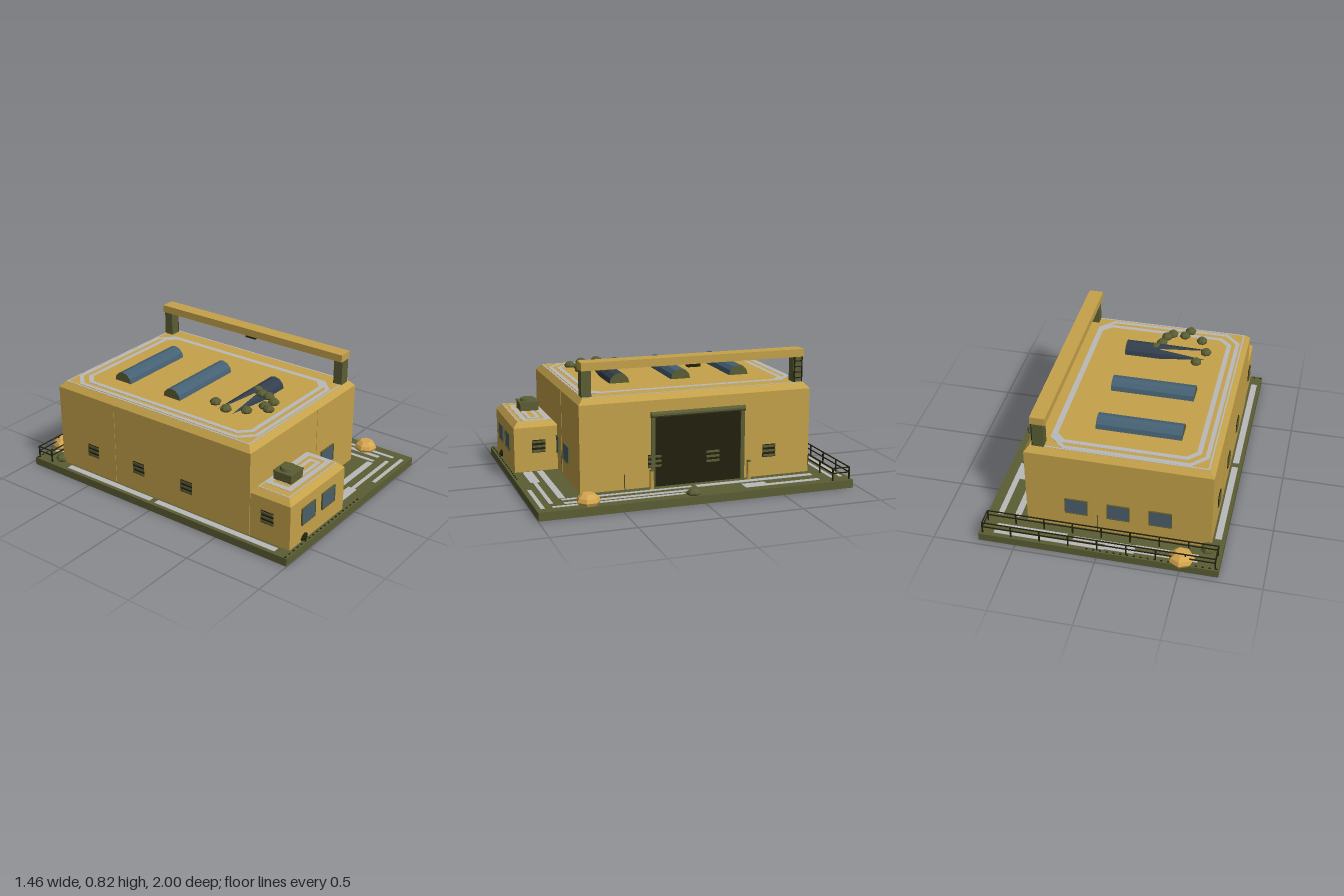
import * as THREE from 'three';

const mat = (name, color, extra = {}) =>
  Object.assign(new THREE.MeshStandardMaterial({ color, flatShading: true, ...extra }), { name });

export function createModel() {
  const root = new THREE.Group();
  const tan = mat('sand wall', 0xc5a24a);
  const amber = mat('amber rock', 0xd6a750);
  const olive = mat('olive', 0x5b5d34);
  const dark = mat('dark metal', 0x22210e);
  const glass = mat('window glass', 0x4a5f6c);
  const sky = mat('skylight glass', 0x466174);
  const navy = mat('broken glass', 0x333f4e, { side: THREE.DoubleSide });
  const grey = mat('grey marking', 0xb9b9b9);

  const add = (name, geo, m, x = 0, y = 0, z = 0, parent = root) => {
    const mesh = new THREE.Mesh(geo, m);
    mesh.name = name;
    mesh.position.set(x, y, z);
    parent.add(mesh);
    return mesh;
  };
  // Box given by its limits on each axis
  const span = (name, m, x0, x1, y0, y1, z0, z1) =>
    add(name, new THREE.BoxGeometry(x1 - x0, y1 - y0, z1 - z0), m, (x0 + x1) / 2, (y0 + y1) / 2, (z0 + z1) / 2);
  // Block with sloping eaves
  const building = (name, x0, x1, y1, z0, z1, inset = 0.03, rise = 0.035) => {
    span(name + 'Walls', tan, x0, x1, 0.05, y1 - rise, z0, z1);
    const cap = new THREE.BoxGeometry(x1 - x0, rise, z1 - z0);
    const p = cap.attributes.position;
    for (let i = 0; i < p.count; i++) {
      if (p.getY(i) > 0) {
        p.setX(i, p.getX(i) - Math.sign(p.getX(i)) * inset);
        p.setZ(i, p.getZ(i) - Math.sign(p.getZ(i)) * inset);
      }
    }
    cap.computeVertexNormals();
    add(name + 'Roof', cap, tan, (x0 + x1) / 2, y1 - rise / 2, (z0 + z1) / 2);
  };
  // Flat ring with cut corners, painted on a roof
  const ring = (name, x0, x1, z0, z1, w, cut, y) => {
    const outline = (o, c) => [
      [x0 + o + c, z0 + o], [x1 - o - c, z0 + o], [x1 - o, z0 + o + c], [x1 - o, z1 - o - c],
      [x1 - o - c, z1 - o], [x0 + o + c, z1 - o], [x0 + o, z1 - o - c], [x0 + o, z0 + o + c],
    ].map(([x, z]) => new THREE.Vector2(x, -z));
    const s = new THREE.Shape(outline(0, cut));
    s.holes.push(new THREE.Path(outline(w, Math.max(cut - w * 0.59, 0.001))));
    const g = new THREE.ExtrudeGeometry(s, { depth: 0.003, bevelEnabled: false });
    g.rotateX(-Math.PI / 2);
    add(name, g, grey, 0, y, 0);
  };

  // Ground slab, hollow underneath
  span('slabTop', olive, -0.733, 0.728, 0.045, 0.05, -0.963, 0.998);
  for (const x of [-0.733, 0.724]) span('slabSide', olive, x, x + 0.004, 0, 0.047, -0.963, 0.998);
  for (const z of [-0.963, 0.994]) span('slabEnd', olive, -0.733, 0.728, 0, 0.047, z, z + 0.004);

  // Two buildings
  building('hall', -0.657, 0.47, 0.617, -0.778, 0.69);
  building('annex', -0.653, -0.082, 0.368, 0.685, 0.965);

  // Wall panel seams
  span('wallSeam', tan, 0.036, 0.039, 0.05, 0.58, 0.69, 0.692);
  span('wallSeam', tan, 0.046, 0.049, 0.05, 0.58, -0.78, -0.778);
  span('wallSeam', tan, -0.659, -0.657, 0.05, 0.58, -0.33, -0.327);

  // Roof markings
  ring('roofEdgeLine', -0.624, 0.437, -0.746, 0.658, 0.01, 0.01, 0.616);
  ring('roofOuterLine', -0.605, 0.34, -0.735, 0.64, 0.026, 0.09, 0.616);
  ring('roofInnerLine', -0.555, 0.335, -0.685, 0.59, 0.03, 0.07, 0.616);
  ring('annexEdgeLine', -0.62, -0.115, 0.718, 0.932, 0.008, 0.005, 0.367);
  ring('annexOuterLine', -0.56, -0.112, 0.722, 0.9, 0.033, 0.005, 0.367);
  ring('annexInnerLine', -0.5, -0.17, 0.775, 0.855, 0.025, 0.005, 0.367);

  // Annex roof ventilator
  span('ventilatorBase', olive, -0.495, -0.375, 0.365, 0.418, 0.74, 0.86);
  span('ventilatorLid', olive, -0.499, -0.371, 0.418, 0.426, 0.736, 0.864);
  add('ventilatorCap', new THREE.CylinderGeometry(0.044, 0.05, 0.018, 16), olive, -0.435, 0.435, 0.8);

  // Ground markings: x0, x1, z0, z1
  [[0.52, 0.56, -0.77, -0.01], [0.63, 0.665, -0.77, -0.43], [0.59, 0.665, -0.43, -0.28],
    [0.525, 0.55, 0.02, 0.82], [0.59, 0.62, 0.02, 0.82], [0.64, 0.665, 0.1, 0.9],
    [-0.07, 0.51, 0.79, 0.83], [-0.07, 0.16, 0.86, 0.92], [0.16, 0.59, 0.88, 0.905],
    [0.3, 0.665, 0.945, 0.97], [-0.71, -0.67, -0.7, -0.02], [-0.71, -0.67, 0.02, 0.9],
    [-0.22, -0.04, -0.93, -0.86], [-0.04, 0.16, -0.89, -0.86], [-0.6, -0.22, -0.92, -0.9],
    [-0.04, 0.64, -0.935, -0.91], [-0.6, -0.22, -0.875, -0.855], [0.2, 0.64, -0.875, -0.85],
  ].forEach(([a, b, c, d]) => span('groundMarking', grey, a, b, 0.049, 0.052, c, d));

  // Windows, dir is the side the wall faces
  const windowPane = (x, z, dir) => {
    const g = new THREE.Group();
    g.name = 'window';
    g.position.set(x, 0.217, z);
    add('pane', new THREE.BoxGeometry(0.13, 0.1, 0.008), glass, 0, 0, dir * 0.003, g);
    for (const s of [-1, 1]) {
      add('frameRail', new THREE.BoxGeometry(0.138, 0.005, 0.012), olive, 0, s * 0.052, dir * 0.004, g);
      add('frameStile', new THREE.BoxGeometry(0.005, 0.108, 0.012), olive, s * 0.067, 0, dir * 0.004, g);
    }
    root.add(g);
  };
  [-0.473, -0.262].forEach((x) => windowPane(x, 0.965, 1));
  [-0.095, 0.162].forEach((x) => windowPane(x, 0.69, 1));
  [-0.35, -0.095, 0.162].forEach((x) => windowPane(x, -0.778, -1));

  // Louvred wall vents
  const vent = (x, z) => {
    const g = new THREE.Group();
    g.name = 'wallVent';
    g.position.set(x, 0.21, z);
    add('ventPlate', new THREE.BoxGeometry(0.01, 0.08, 0.084), dark, 0, 0, 0, g);
    for (let i = -1; i <= 1; i++)
      add('louvre', new THREE.BoxGeometry(0.018, 0.014, 0.084), olive, 0, i * 0.029, 0, g);
    root.add(g);
  };
  [-0.51, -0.14, 0.23].forEach((z) => { vent(-0.657, z); vent(0.47, z); });
  vent(-0.653, 0.81);
  vent(-0.082, 0.81);

  // Roller door with frame, slats and drum
  span('doorPanel', dark, 0.465, 0.475, 0.05, 0.48, -0.32, 0.23);
  for (let i = 1; i < 14; i++) {
    const y = 0.05 + i * 0.031;
    span('doorSlat', dark, 0.47, 0.478, y, y + 0.008, -0.32, 0.23);
  }
  span('doorJamb', olive, 0.465, 0.485, 0.05, 0.5, 0.228, 0.253);
  span('doorJamb', olive, 0.465, 0.485, 0.05, 0.5, -0.343, -0.318);
  const drum = add('doorDrum', new THREE.CylinderGeometry(0.018, 0.018, 0.6, 10), olive, 0.478, 0.495, -0.045);
  drum.rotation.x = Math.PI / 2;

  // Bollards
  for (const z of [-0.36, 0.263]) {
    add('bollard', new THREE.CylinderGeometry(0.013, 0.013, 0.115, 8), tan, 0.514, 0.108, z);
    add('bollardCap', new THREE.CylinderGeometry(0.014, 0.014, 0.006, 8), olive, 0.514, 0.168, z);
  }

  // Roof gantry with hoist and ladder
  span('gantryBeam', tan, 0.338, 0.43, 0.775, 0.823, -0.75, 0.662);
  span('gantryPost', olive, 0.353, 0.42, 0.6, 0.776, 0.6, 0.66);
  span('gantryPost', olive, 0.353, 0.42, 0.6, 0.776, -0.748, -0.688);
  span('hoist', dark, 0.36, 0.41, 0.752, 0.776, -0.08, -0.002);
  for (const z of [-0.746, -0.696]) span('ladderRail', dark, 0.418, 0.426, 0.61, 0.776, z, z + 0.006);
  for (let i = 0; i < 4; i++) span('ladderRung', dark, 0.418, 0.425, 0.64 + i * 0.035, 0.646 + i * 0.035, -0.746, -0.69);

  // Whole skylights with solid end walls
  for (const z of [-0.455, -0.065]) {
    const g = new THREE.CylinderGeometry(0.064, 0.064, 0.52, 6, 1, false, 0, Math.PI);
    g.rotateZ(Math.PI / 2);
    add('skylight', g, [sky, olive, olive], -0.16, 0.615, z);
  }
  // Broken skylight, torn into long shards, with its remaining end wall
  const shards = [];
  const tips = [-0.1, -0.42, -0.1, -0.41, -0.11, -0.42, -0.1];
  const arc = (i, x) => [x, 0.615 + 0.064 * Math.sin((i * Math.PI) / 6), 0.335 + 0.064 * Math.cos((i * Math.PI) / 6)];
  for (let i = 0; i < 6; i++) {
    const [a, b, c, d] = [arc(i, 0.1), arc(i + 1, 0.1), arc(i + 1, tips[i + 1]), arc(i, tips[i])];
    shards.push(...a, ...b, ...c, ...a, ...c, ...d);
  }
  const broken = new THREE.BufferGeometry();
  broken.setAttribute('position', new THREE.Float32BufferAttribute(shards, 3));
  broken.computeVertexNormals();
  add('brokenSkylight', broken, navy);
  const endWall = new THREE.CylinderGeometry(0.064, 0.064, 0.004, 6, 1, false, 0, Math.PI);
  endWall.rotateZ(Math.PI / 2);
  add('brokenSkylightEnd', endWall, olive, 0.1, 0.615, 0.335);

  // Domed rocks with flat tops
  const rock = (name, m, x, y, z, r, h, turn) => {
    const profile = [[0, 0], [0.88, 0], [1, 0.3], [0.86, 0.65], [0.5, 1], [0, 1]];
    const g = new THREE.LatheGeometry(profile.map(([a, b]) => new THREE.Vector2(a * r, b * h)), 7, turn);
    add(name, g, m, x, y, z);
  };
  [[-0.37, 0.23], [-0.415, 0.34], [-0.37, 0.455], [-0.09, 0.34], [-0.12, 0.39], [-0.14, 0.455],
    [-0.17, 0.51], [-0.25, 0.5], [-0.28, 0.55]].forEach(([x, z], i) =>
    rock('roofRubble', olive, x, 0.65 + (i % 3) * 0.005, z, 0.036, 0.033, i * 1.3));
  rock('boulder', amber, -0.505, 0.05, -0.918, 0.08, 0.065, 0.4);
  rock('boulder', amber, 0.655, 0.05, 0.69, 0.073, 0.062, 1.2);
  rock('stone', olive, 0.685, 0.05, 0.06, 0.043, 0.037, 0.7);
  rock('stone', olive, -0.645, 0.05, -0.8, 0.046, 0.042, 2);
  rock('scorchedStone', dark, -0.502, 0.05, 0.928, 0.056, 0.054, 0.9);

  // Railing loop at the back
  for (const y of [0.095, 0.126]) {
    for (const z of [-0.945, -0.835]) span('railingBar', dark, -0.71, 0.705, y - 0.003, y + 0.003, z - 0.003, z + 0.003);
    for (const x of [-0.71, 0.705]) span('railingEnd', dark, x - 0.003, x + 0.003, y - 0.003, y + 0.003, -0.945, -0.835);
  }
  for (let i = 0; i <= 8; i++) {
    const x = -0.71 + (i * 1.415) / 8;
    for (const z of [-0.945, -0.835]) span('railingPost', dark, x - 0.004, x + 0.004, 0.05, 0.128, z - 0.004, z + 0.004);
  }

  // Studs along the slab edges
  for (let i = 0; i < 20; i++) {
    const x = -0.72 + i * 0.041;
    for (const z of [-0.95, 0.983]) span('edgeStud', dark, x - 0.006, x + 0.006, 0.048, 0.054, z - 0.004, z + 0.004);
  }

  // Thin conduits at the walls
  span('conduit', olive, 0.03, 0.035, 0.05, 0.175, 0.688, 0.695);
  span('conduit', olive, 0.03, 0.035, 0.05, 0.175, -0.785, -0.777);
  span('conduit', olive, 0.468, 0.474, 0.05, 0.145, 0.415, 0.42);
  return root;
}
